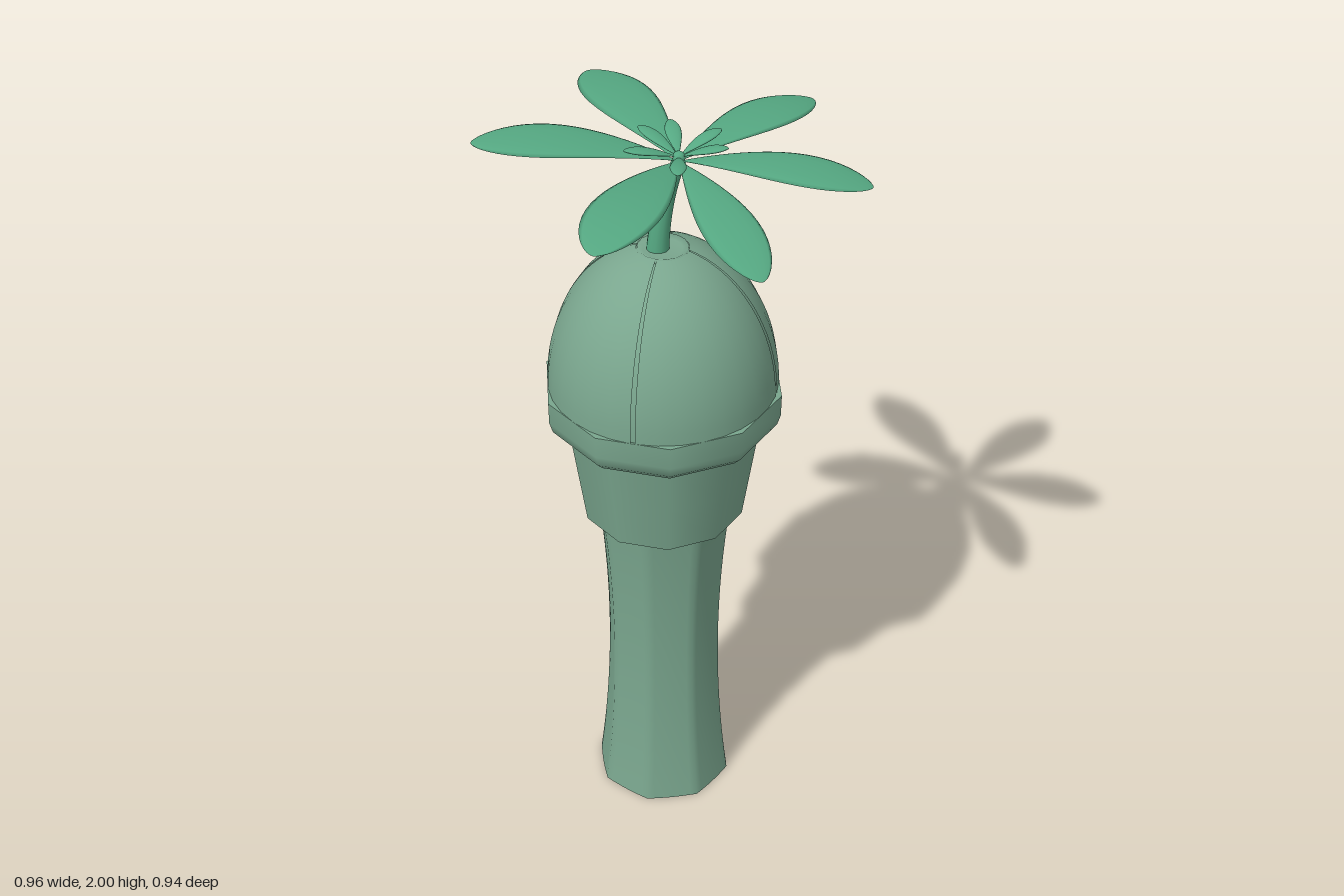
import * as THREE from 'three';

const AXIS_X = -0.03, AXIS_Z = -0.05;
const bodyMat = new THREE.MeshStandardMaterial({ color: 0x7aa68e, side: THREE.DoubleSide });
const leafMat = new THREE.MeshStandardMaterial({ color: 0x55a882, side: THREE.DoubleSide });

// Skin a list of closed rings (arrays of Vector3 of equal length)
function loft(rings) {
  const n = rings[0].length, pos = [], idx = [];
  for (const ring of rings) for (const p of ring) pos.push(p.x, p.y, p.z);
  for (let i = 0; i < rings.length - 1; i++) {
    for (let j = 0; j < n; j++) {
      const a = i * n + j, b = i * n + (j + 1) % n, c = a + n, d = b + n;
      idx.push(a, c, b, b, c, d);
    }
  }
  const g = new THREE.BufferGeometry();
  g.setAttribute('position', new THREE.Float32BufferAttribute(pos, 3));
  g.setIndex(idx);
  g.computeVertexNormals();
  return g;
}

function add(parent, name, geometry, material) {
  const m = new THREE.Mesh(geometry, material);
  m.name = name;
  parent.add(m);
  return m;
}

// Surface of revolution around the body axis; starts on the x axis
function lathe(points, sides = 10, start = Math.PI / 2, length = Math.PI * 2) {
  const pts = points.map(([r, y]) => new THREE.Vector2(r, y));
  return new THREE.LatheGeometry(pts, sides, start, length);
}

// Waisted eight-sided column, open below, with an arched dent low on the back
function columnGeometry() {
  const rings = [], sides = 64, rows = 46;
  for (let i = 0; i <= rows; i++) {
    const y = 0.92 * Math.pow(i / rows, 1.5);
    const r = 0.154 + 0.031 * ((y - 0.48) / 0.48) ** 2;
    const ring = [];
    for (let j = 0; j < sides; j++) {
      const a = (j / sides) * Math.PI * 2;
      const local = (a % (Math.PI / 4)) - Math.PI / 8;
      const oct = Math.cos(Math.PI / 8) / Math.cos(local);
      const rr = r * (0.75 * oct + 0.25);
      const p = new THREE.Vector3(rr * Math.cos(a), y, rr * Math.sin(a));
      if (p.z < 0) {
        const d = Math.max(Math.hypot(p.x / 0.07, Math.max(0, y - 0.08) / 0.08), 0);
        p.z += 0.07 * (1 - THREE.MathUtils.smoothstep(d, 0.7, 1.05));
      }
      ring.push(p);
    }
    rings.push(ring);
  }
  return loft(rings);
}

// Thin paddle-shaped leaf from base to tip, arched upward by lift
function leafGeometry(base, tip, halfWidth, thickness, lift) {
  const dir = new THREE.Vector3().subVectors(tip, base).setY(0).normalize();
  const side = new THREE.Vector3(-dir.z, 0, dir.x);
  const rings = [], steps = 24, sides = 12;
  for (let i = 0; i <= steps; i++) {
    const t = (1 - Math.cos((Math.PI * i) / steps)) / 2;
    const f = Math.pow(Math.max(0, Math.sin(Math.PI * Math.pow(t, 1.6))), 0.6);
    const centre = base.clone().lerp(tip, t);
    centre.y += lift * 4 * t * (1 - t);
    const ring = [];
    for (let j = 0; j < sides; j++) {
      const a = (j / sides) * Math.PI * 2;
      const p = centre.clone().addScaledVector(side, halfWidth * f * Math.cos(a));
      p.y += thickness * f * Math.sin(a);
      ring.push(p);
    }
    rings.push(ring);
  }
  return loft(rings);
}

export function createModel() {
  const group = new THREE.Group();
  const body = new THREE.Group();
  body.name = 'body';
  body.position.set(AXIS_X, 0, AXIS_Z);
  group.add(body);

  add(body, 'column', columnGeometry(), bodyMat);

  // Ten-sided cup with a thick rim
  add(body, 'cupUnderside', lathe([[0.14, 0.92], [0.213, 0.92]]), bodyMat);
  add(body, 'cup', lathe([[0.213, 0.92], [0.234, 1.06], [0.255, 1.2]]), bodyMat);
  add(body, 'rimUnderside', lathe([[0.25, 1.2], [0.28, 1.2]]), bodyMat);
  add(body, 'rim', lathe([[0.28, 1.2], [0.3, 1.22], [0.309, 1.25], [0.31, 1.31]]), bodyMat);
  add(body, 'rimTop', lathe([[0.31, 1.31], [0.26, 1.31]]), bodyMat);

  // Dome of four panels with narrow seams over an inner core
  const profile = (scale) => {
    const pts = [];
    for (let i = 0; i <= 18; i++) {
      const a = (i / 18) * 1.346;
      pts.push([0.295 * scale * Math.cos(a), 1.31 + 0.4 * scale * Math.sin(a)]);
    }
    return pts;
  };
  const gap = 0.04;
  for (let k = 0; k < 4; k++) {
    const start = (k * Math.PI) / 2 + gap / 2;
    add(body, 'domePanel', lathe(profile(1), 8, start, Math.PI / 2 - gap), bodyMat);
  }
  add(body, 'domeCore', lathe([...profile(0.98), [0, 1.692]], 32), bodyMat);
  add(body, 'domeCollar', lathe([[0.068, 1.69], [0.064, 1.703], [0.05, 1.696], [0, 1.696]], 16), bodyMat);

  // Curved tapering stalk
  const hub = new THREE.Vector3(0.01, 1.945, -0.05);
  const curve = new THREE.QuadraticBezierCurve3(
    new THREE.Vector3(-0.043, 1.69, -0.05), new THREE.Vector3(-0.035, 1.83, -0.05), hub);
  const rings = [];
  for (let i = 0; i <= 14; i++) {
    const t = i / 14, c = curve.getPoint(t), ring = [];
    const r = 0.029 - 0.012 * t;
    for (let j = 0; j < 12; j++) {
      const a = (j / 12) * Math.PI * 2;
      ring.push(new THREE.Vector3(c.x + r * Math.cos(a), c.y - 0.2 * r * Math.cos(a), c.z + r * Math.sin(a)));
    }
    rings.push(ring);
  }
  add(group, 'stalk', loft(rings), leafMat);

  // Large leaves: tip x, y, z, half width, lift
  const leaves = [
    [-0.335, 1.935, -0.465, 0.083, 0.02],
    [0.25, 1.935, -0.46, 0.076, 0.02],
    [0.48, 1.932, -0.065, 0.076, 0.022],
    [0.295, 1.855, 0.29, 0.072, 0.02],
    [-0.055, 1.975, 0.466, 0.088, 0.025],
    [-0.482, 1.975, 0.04, 0.084, 0.025],
  ];
  for (const [x, y, z, w, lift] of leaves) {
    add(group, 'leaf', leafGeometry(hub, new THREE.Vector3(x, y, z), w, 0.009, lift), leafMat);
  }

  // Small inner leaves
  const small = [[0.13, -0.06], [0.09, -0.15], [-0.042, -0.165], [-0.108, -0.115], [-0.11, 0.015], [0.045, 0.097]];
  const heart = hub.clone().setY(1.955);
  for (const [x, z] of small) {
    add(group, 'innerLeaf', leafGeometry(heart, new THREE.Vector3(x, 1.99, z), 0.02, 0.006, 0.006), leafMat);
  }
  add(group, 'heart', new THREE.SphereGeometry(0.016, 12, 8), leafMat).position.copy(heart);

  return group;
}
